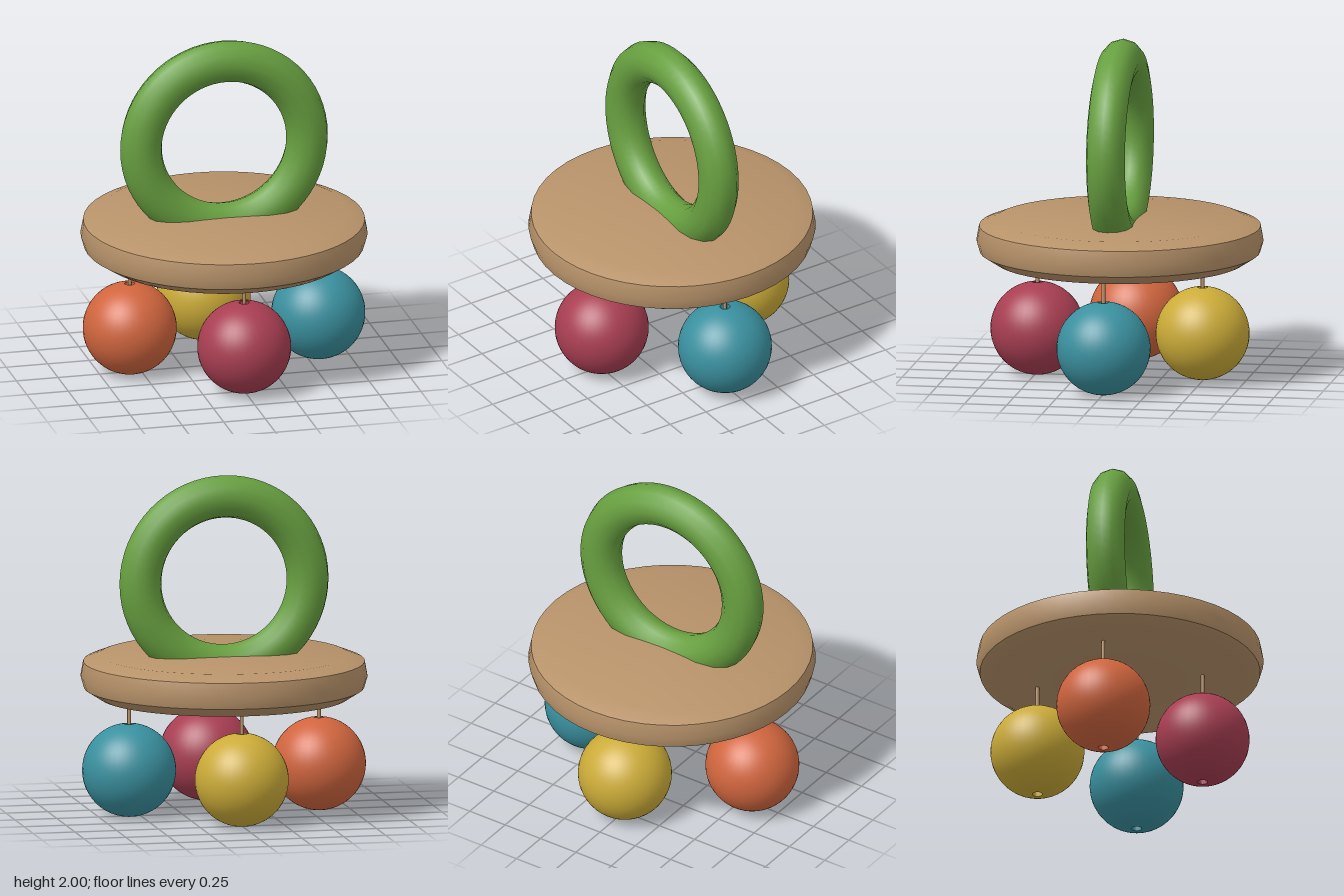
import * as THREE from 'three';
import { toCreasedNormals } from 'three/addons/utils/BufferGeometryUtils.js';

const paint = (name, color) => {
  const m = new THREE.MeshStandardMaterial({ color });
  m.name = name;
  return m;
};

// Lathe a profile (listed bottom to top on the outside) and keep hard edges crisp
const turned = (points, segments, crease) =>
  toCreasedNormals(new THREE.LatheGeometry(points.map(([x, y]) => new THREE.Vector2(x, y)), segments), crease);

export function createModel() {
  const model = new THREE.Group();
  model.name = 'hangingBallToy';

  const wood = paint('wood', 0xb8936a);
  const green = paint('green', 0x68a040);

  const add = (name, geometry, material, parent = model) => {
    const mesh = new THREE.Mesh(geometry, material);
    mesh.name = name;
    parent.add(mesh);
    return mesh;
  };

  // Wooden disc with bevelled, slightly bulging rim
  add('disc', turned([
    [0, 0.69], [0.73, 0.69], [0.82, 0.747], [0.84, 0.815], [0.824, 0.902], [0.727, 0.94], [0, 0.94],
  ], 48, 0.65), wood);

  // Grip ring, sunk into the disc and slightly flattened front to back
  const ring = add('gripRing', new THREE.TorusGeometry(0.5, 0.125, 12, 64), green);
  ring.position.y = 1.375;
  ring.scale.z = 0.92;

  // Ball profile: sphere with a narrow bore through its axis
  const R = 0.275, bore = 0.03;
  const start = Math.asin(bore / R);
  const ballProfile = [];
  for (let i = 0; i <= 28; i++) {
    const a = start + (Math.PI - 2 * start) * i / 28;
    ballProfile.push([R * Math.sin(a), -R * Math.cos(a)]);
  }
  ballProfile.push([...ballProfile[0]]);
  const ballGeometry = turned(ballProfile, 40, 0.8);
  const cordGeometry = new THREE.CylinderGeometry(0.011, 0.011, 0.43, 10);
  const knotGeometry = new THREE.SphereGeometry(bore, 12, 8);

  // Four balls, each on a cord below the disc
  const balls = [
    ['left', 0.568, 0, paint('teal', 0x3a909f)],
    ['right', -0.568, 0, paint('orange', 0xd0653e)],
    ['front', 0, 0.49, paint('crimson', 0xa83e52)],
    ['back', 0, -0.49, paint('yellow', 0xcbab38)],
  ];
  for (const [side, x, z, material] of balls) {
    const pendant = new THREE.Group();
    pendant.name = side + 'Pendant';
    pendant.position.set(x, R, z);
    add(side + 'Ball', ballGeometry, material, pendant);
    add(side + 'Cord', cordGeometry, wood, pendant).position.y = 0.215;
    add(side + 'Knot', knotGeometry, wood, pendant);
    model.add(pendant);
  }

  return model;
}
